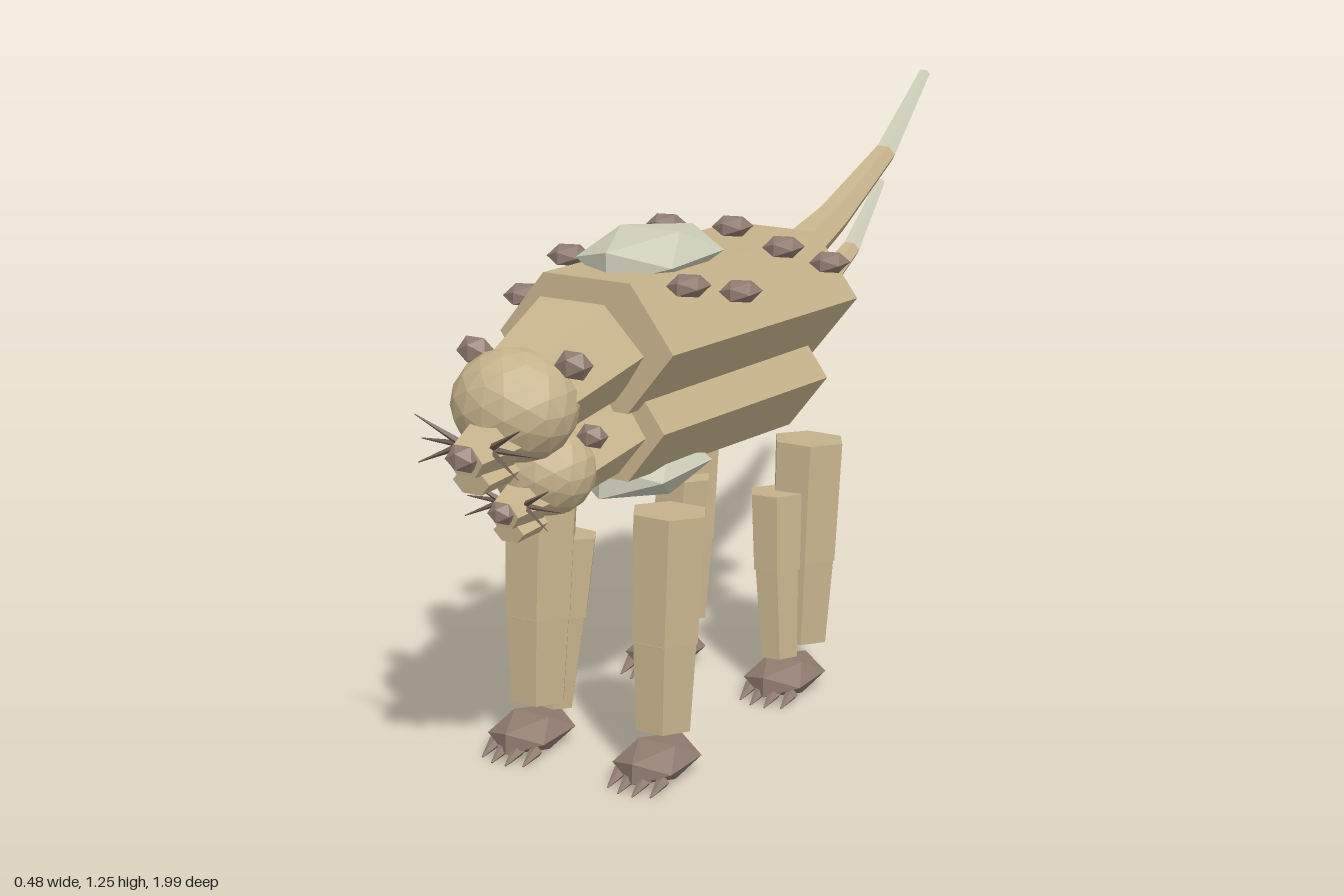
import * as THREE from 'three';

export function createModel() {
  const model = new THREE.Group();
  model.name = 'armouredTwoHeadedBeast';
  const material = (name, color) => {
    const m = new THREE.MeshStandardMaterial({ color, flatShading: true });
    m.name = name;
    return m;
  };
  const hide = material('tanHide', 0xc6b38c);
  const horn = material('brownHorn', 0x8f7b70);
  const shell = material('paleShell', 0xcbccb8);
  const whiskerMat = material('darkWhisker', 0x6b5c50);

  const add = (name, geometry, mat) => {
    const mesh = new THREE.Mesh(geometry, mat);
    mesh.name = name;
    model.add(mesh);
    return mesh;
  };

  // Tapered prism from a to b; sx, sy stretch its cross-section
  const limb = (name, a, b, ra, rb, mat, { sides = 6, sx = 1, sy = 1, up = [0, 1, 0] } = {}) => {
    const p = new THREE.Vector3(...a), q = new THREE.Vector3(...b);
    const g = new THREE.CylinderGeometry(rb, ra, p.distanceTo(q), sides);
    g.rotateY(Math.PI / 2);
    g.rotateX(Math.PI / 2);
    g.scale(sx, sy, 1);
    g.applyMatrix4(new THREE.Matrix4().lookAt(q, p, new THREE.Vector3(...up)));
    g.translate((p.x + q.x) / 2, (p.y + q.y) / 2, (p.z + q.z) / 2);
    return add(name, g, mat);
  };

  // Faceted pebble
  const lump = (name, pos, size, mat, detail = 0) => {
    const g = new THREE.IcosahedronGeometry(1, detail);
    g.scale(...size);
    g.translate(...pos);
    return add(name, g, mat);
  };

  // Two stacked trunks
  limb('upperBody', [0, 0.868, -0.23], [0, 0.91, 0.54], 0.213, 0.205, hide, { sy: 0.74 });
  limb('lowerBody', [0, 0.7, -0.155], [0, 0.735, 0.51], 0.18, 0.165, hide, { sy: 0.76 });

  // Shell plates on the back and belly
  lump('backPlate', [0, 1.045, 0.29], [0.135, 0.062, 0.2], shell);
  lump('bellyPlate', [0, 0.605, 0.335], [0.135, 0.065, 0.19], shell);

  // Necks
  limb('upperNeck', [0, 0.905, 0.56], [0, 0.855, 0.76], 0.15, 0.12, hide, { sy: 0.8 });
  limb('lowerNeck', [0, 0.725, 0.49], [0, 0.69, 0.67], 0.125, 0.1, hide, { sy: 0.75 });

  // Heads: s is the overall size
  const head = (name, y, z, s) => {
    lump(name + 'Head', [0, y, z], [0.13 * s, 0.113 * s, 0.113 * s], hide, 2);
    limb(name + 'Muzzle', [0, y - 0.055 * s, z + 0.07 * s], [0, y - 0.068 * s, z + 0.17 * s],
      0.068 * s, 0.042 * s, hide, { sy: 0.85 });
    limb(name + 'Jaw', [0, y - 0.108 * s, z + 0.06 * s], [0, y - 0.115 * s, z + 0.15 * s],
      0.05 * s, 0.042 * s, hide, { sy: 0.65 });
    lump(name + 'Nose', [0, y - 0.062 * s, z + 0.174 * s], [0.036 * s, 0.03 * s, 0.03 * s], horn);
    for (const side of [-1, 1]) {
      lump(name + 'Ear', [side * 0.114 * s, y + 0.086 * s, z - 0.035 * s],
        [0.04 * s, 0.032 * s, 0.032 * s], horn);
      // Fanned whiskers
      for (const [dx, dy, dz] of [[0.105, 0.06, 0.03], [0.12, 0.0, -0.01], [0.1, -0.035, 0.03]]) {
        limb(name + 'Whisker', [side * 0.03 * s, y - 0.05 * s, z + 0.13 * s],
          [side * (0.015 + dx) * s, y + (dy - 0.055) * s, z + (0.13 + dz) * s],
          0.008 * s, 0.001, whiskerMat, { sides: 4 });
      }
    }
  };
  head('upper', 0.842, 0.79, 1);
  head('lower', 0.69, 0.695, 0.84);

  // Tails made of tapering joints ending in a pale tip
  const tail = (name, points, radii) => {
    for (let i = 0; i < points.length - 1; i++) {
      const last = i === points.length - 2;
      limb(name + (last ? 'Tip' : 'Joint'), [0, ...points[i + 1]], [0, ...points[i]],
        radii[i + 1], radii[i], last ? shell : hide, { sy: 0.9 });
    }
  };
  tail('upperTail', [[0.875, -0.18], [0.972, -0.51], [1.085, -0.78], [1.25, -0.99]],
    [0.064, 0.042, 0.028, 0.015]);
  tail('lowerTail', [[0.735, -0.12], [0.79, -0.38], [0.885, -0.61], [1.02, -0.76]],
    [0.055, 0.036, 0.023, 0.012]);

  // Brown studs along the flanks and one on the rump: x, y, z
  const studs = [
    [0.175, 1.025, 0.43], [0.183, 0.975, 0.235], [0.175, 1.03, 0.04], [0.183, 0.96, -0.155],
    [-0.183, 0.975, 0.48], [-0.175, 1.03, 0.33], [-0.183, 0.97, 0.135], [-0.175, 1.025, -0.06],
    [0, 1.04, -0.05],
  ];
  for (const pos of studs) lump('stud', pos, [0.043, 0.025, 0.052], horn);

  // Paired legs: a large outer column, a thinner inner one, a shared clawed foot
  const up = [0, 0, 1];
  const leg = (name, side, top, mid, low, innerTop, innerLow, footZ) => {
    const x = 0.155 * side;
    limb(name + 'Thigh', [x, 0.3, mid], [x, 0.565, top], 0.077, 0.083, hide, { up });
    limb(name + 'Shin', [x, 0.11, low], [x, 0.3, mid], 0.064, 0.074, hide, { up });
    const innerMid = (innerTop + innerLow) / 2;
    limb(name + 'InnerThigh', [0.125 * side, 0.29, innerMid], [0.118 * side, 0.46, innerTop],
      0.058, 0.063, hide, { up });
    limb(name + 'InnerShin', [0.138 * side, 0.088, innerLow], [0.125 * side, 0.29, innerMid],
      0.045, 0.054, hide, { up });
    lump(name + 'Foot', [x, 0.046, footZ], [0.083, 0.043, 0.115], horn);
    for (let i = 0; i < 4; i++) {
      const cx = x + (i - 1.5) * 0.034;
      const cz = footZ + (i === 0 || i === 3 ? 0.06 : 0.075);
      limb(name + 'Claw', [cx, 0.03, cz], [cx, 0.012, cz + 0.05], 0.015, 0.002, horn, { sides: 5 });
    }
  };
  for (const side of [-1, 1]) {
    leg('front', side, 0.475, 0.495, 0.505, 0.43, 0.47, 0.53);
    leg('rear', side, -0.12, -0.1, -0.085, -0.04, -0.02, -0.015);
  }

  return model;
}
